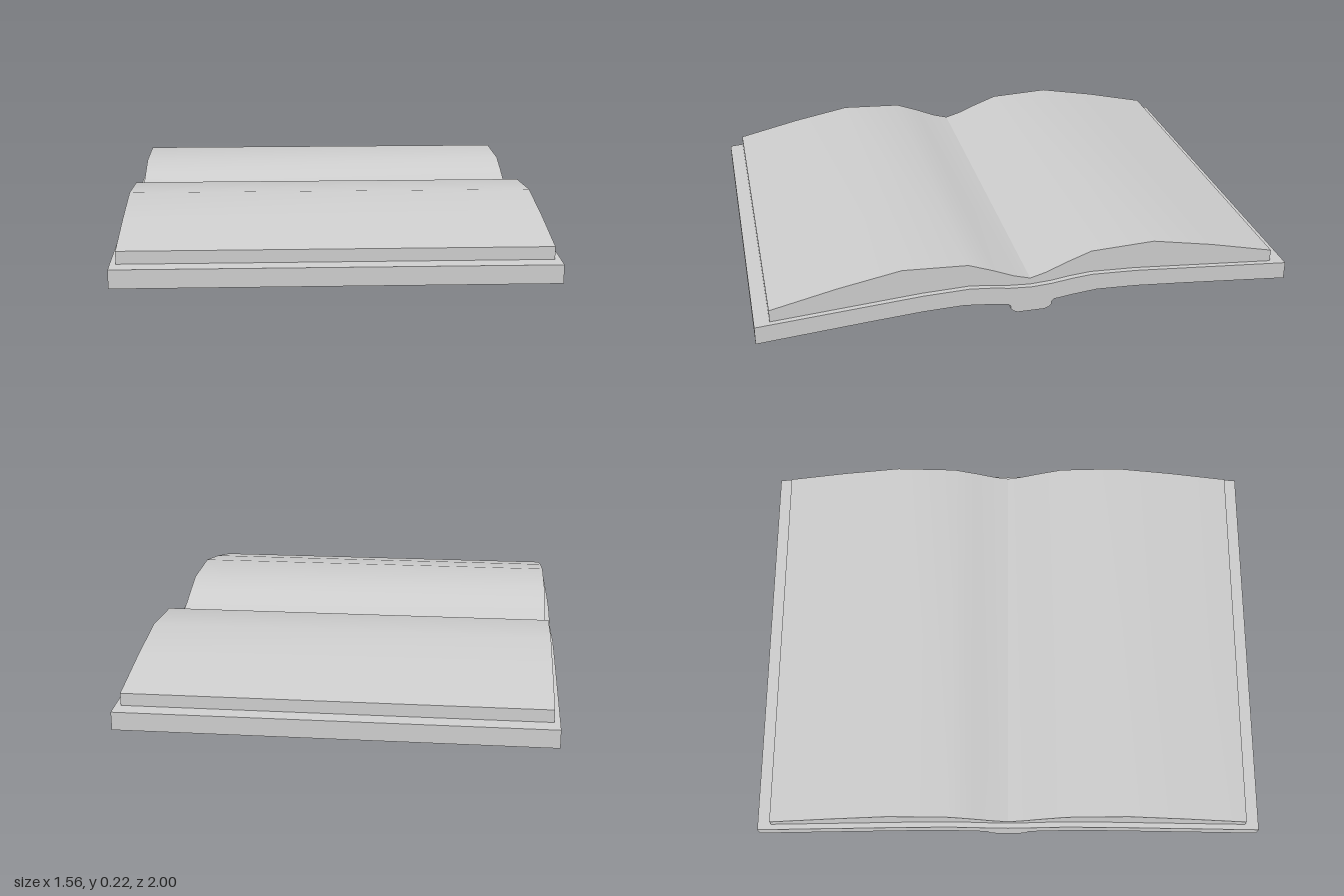
import * as THREE from 'three';
import { toCreasedNormals } from 'three/addons/utils/BufferGeometryUtils.js';

// Upper face of the cover, from the gutter outwards: [distance from spine, height]
const coverTop = [[0, 0.1], [0.08, 0.105], [0.15, 0.115], [0.23, 0.122], [0.4, 0.116], [0.7, 0.093], [1, 0.07]];
// Lower face of the cover with the rounded spine ridge
const coverBottom = [[1, 0.003], [0.6, 0.036], [0.4, 0.051], [0.25, 0.056], [0.16, 0.047], [0.085, 0.037],
  [0.077, 0.028], [0.077, 0.018], [0.066, 0.006], [0.05, 0], [0, 0]];
// Swelling upper face of the page block
const pagesTop = [[0, 0.125], [0.06, 0.142], [0.14, 0.175], [0.23, 0.208], [0.47, 0.219], [0.7, 0.176], [0.945, 0.12]];
const pagesBottom = [[0.945, 0.074], ...coverTop.slice(1, -1).reverse(), [0, 0.1]];

// Mirror a half section about the spine and extrude it across the width
function section(half, halfWidth) {
  const mirrored = half.slice(1, -1).reverse().map(([z, y]) => [-z, y]);
  const points = [...half, ...mirrored].map(([z, y]) => new THREE.Vector2(z, y));
  const geometry = new THREE.ExtrudeGeometry(new THREE.Shape(points), {
    depth: halfWidth * 2, bevelEnabled: false,
  });
  geometry.translate(0, 0, -halfWidth);
  geometry.rotateY(Math.PI / 2);
  return toCreasedNormals(geometry, THREE.MathUtils.degToRad(27));
}

export function createModel() {
  const grey = new THREE.MeshStandardMaterial({ color: 0xcccccc });
  grey.name = 'light grey';

  const book = new THREE.Group();
  book.name = 'openBook';

  const cover = new THREE.Mesh(section([...coverTop, ...coverBottom], 0.778), grey);
  cover.name = 'cover';
  const pages = new THREE.Mesh(section([...pagesTop, ...pagesBottom], 0.757), grey);
  pages.name = 'pages';

  book.add(cover, pages);
  return book;
}
